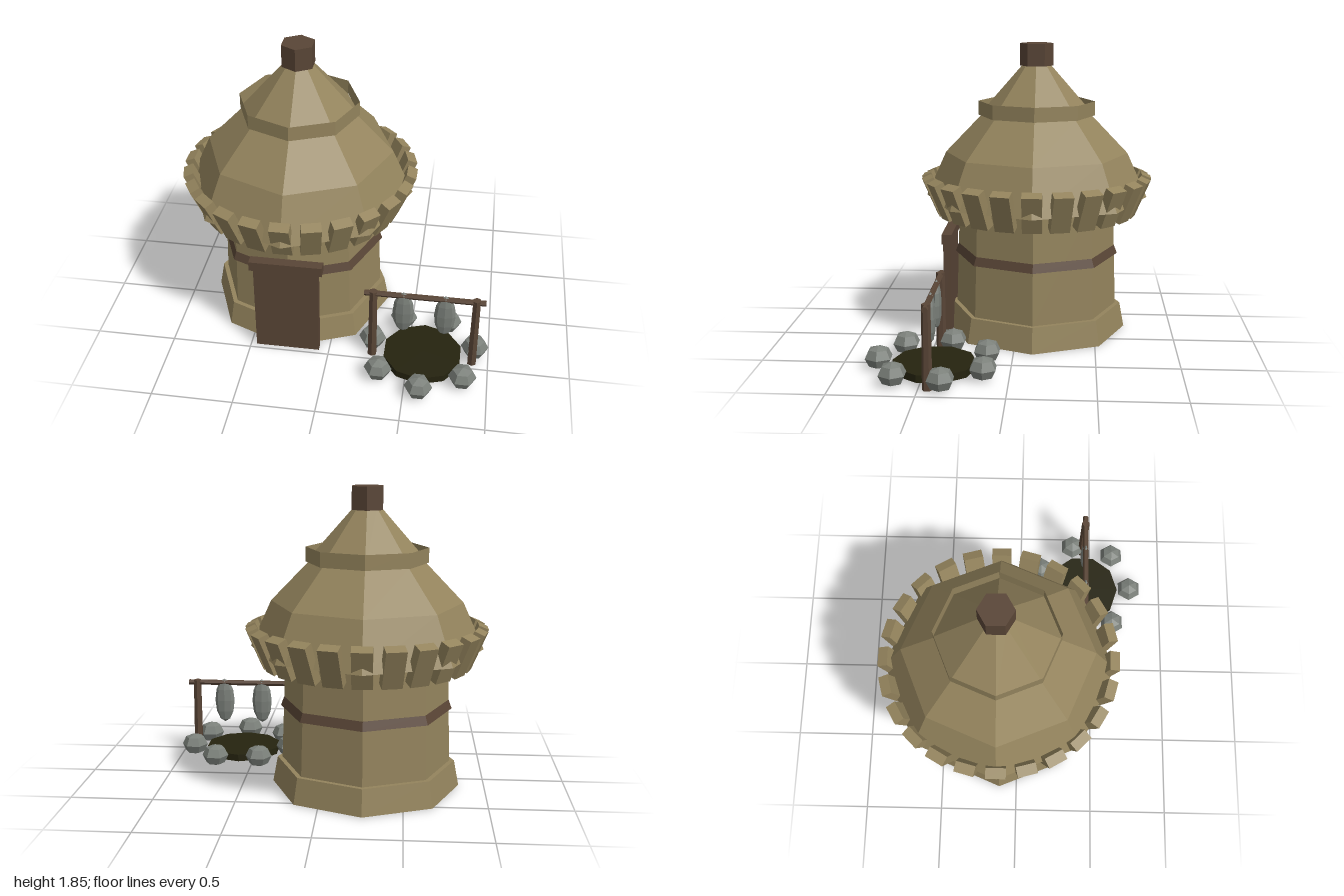
import * as THREE from 'three';

const material = (name, color, side = THREE.FrontSide) => {
  const m = new THREE.MeshStandardMaterial({ color, flatShading: true, side });
  m.name = name;
  return m;
};

export function createModel() {
  const model = new THREE.Group();
  model.name = 'hut';
  const straw = material('straw', 0x94845d, THREE.DoubleSide);
  const wood = material('dark wood', 0x594536);
  const stone = material('grey stone', 0x7b807a);
  const ash = material('dark ash', 0x25230f);

  const add = (parent, name, geometry, mat, x = 0, y = 0, z = 0) => {
    const mesh = new THREE.Mesh(geometry, mat);
    mesh.name = name;
    mesh.position.set(x, y, z);
    parent.add(mesh);
    return mesh;
  };
  const group = (name, x, y, z) => {
    const g = new THREE.Group();
    g.name = name;
    g.position.set(x, y, z);
    model.add(g);
    return g;
  };
  // Upright tapered prism between two heights
  const prism = (parent, name, mat, y0, y1, r0, r1, sides = 8, open = false, x = 0) =>
    add(parent, name, new THREE.CylinderGeometry(r1, r0, y1 - y0, sides, 1, open), mat, x, (y0 + y1) / 2, 0);

  // Octagonal tower
  const tower = group('tower', -0.263, 0, -0.115);
  prism(tower, 'base', straw, 0.01, 0.17, 0.58, 0.55);
  prism(tower, 'wall', straw, 0.17, 0.89, 0.52, 0.495);
  prism(tower, 'wallBand', wood, 0.505, 0.56, 0.527, 0.507);

  // Roof in stacked tiers
  prism(tower, 'roofSkirt', straw, 0.88, 1.165, 0.71, 0.582);
  prism(tower, 'lowerRoof', straw, 1.165, 1.405, 0.582, 0.352);
  prism(tower, 'roofCollar', straw, 1.405, 1.495, 0.37, 0.37, 8, true);
  prism(tower, 'upperRoof', straw, 1.405, 1.735, 0.368, 0.08);
  prism(tower, 'roofCap', wood, 1.72, 1.86, 0.106, 0.106, 6);

  // Slats leaning outwards around the eaves
  const slatGeometry = new THREE.BoxGeometry(0.12, 0.25, 0.065);
  for (let i = 0; i < 24; i++) {
    const a = (i / 24) * Math.PI * 2;
    const slat = add(tower, 'eaveSlat', slatGeometry, straw, Math.sin(a) * 0.655, 0.91, Math.cos(a) * 0.655);
    slat.rotation.set(0.4, a, 0, 'YXZ');
  }

  // Door slab with lintel
  const door = group('door', -0.263, 0, 0.445);
  add(door, 'doorPanel', new THREE.BoxGeometry(0.4, 0.6, 0.05), wood, 0, 0.31, 0);
  add(door, 'lintel', new THREE.BoxGeometry(0.45, 0.062, 0.064), wood, 0, 0.634, 0);

  // Drying rack over the fire pit
  const rack = group('dryingRack', 0.587, 0, 0.445);
  for (const x of [-0.313, 0.313]) prism(rack, 'rackPost', wood, 0.01, 0.51, 0.03, 0.026, 6, false, x);
  const beam = add(rack, 'rackBeam', new THREE.CylinderGeometry(0.018, 0.018, 0.738, 6), wood, 0, 0.493, 0);
  beam.rotation.z = Math.PI / 2;
  const hangGeometry = new THREE.SphereGeometry(1, 8, 6);
  for (const x of [-0.127, 0.127]) {
    add(rack, 'hangingCatch', hangGeometry, stone, x, 0.37, 0).scale.set(0.066, 0.15, 0.03);
  }

  // Fire pit ringed with stones
  const pit = group('firePit', 0.59, 0, 0.445);
  prism(pit, 'ashBed', ash, 0.02, 0.065, 0.248, 0.248, 10);
  const stoneGeometry = new THREE.SphereGeometry(0.086, 6, 4);
  for (let i = 0; i < 7; i++) {
    const a = (i / 7) * Math.PI * 2;
    add(pit, 'pitStone', stoneGeometry, stone, Math.sin(a) * 0.33, 0.08, Math.cos(a) * 0.33).scale.y = 0.83;
  }
  return model;
}
